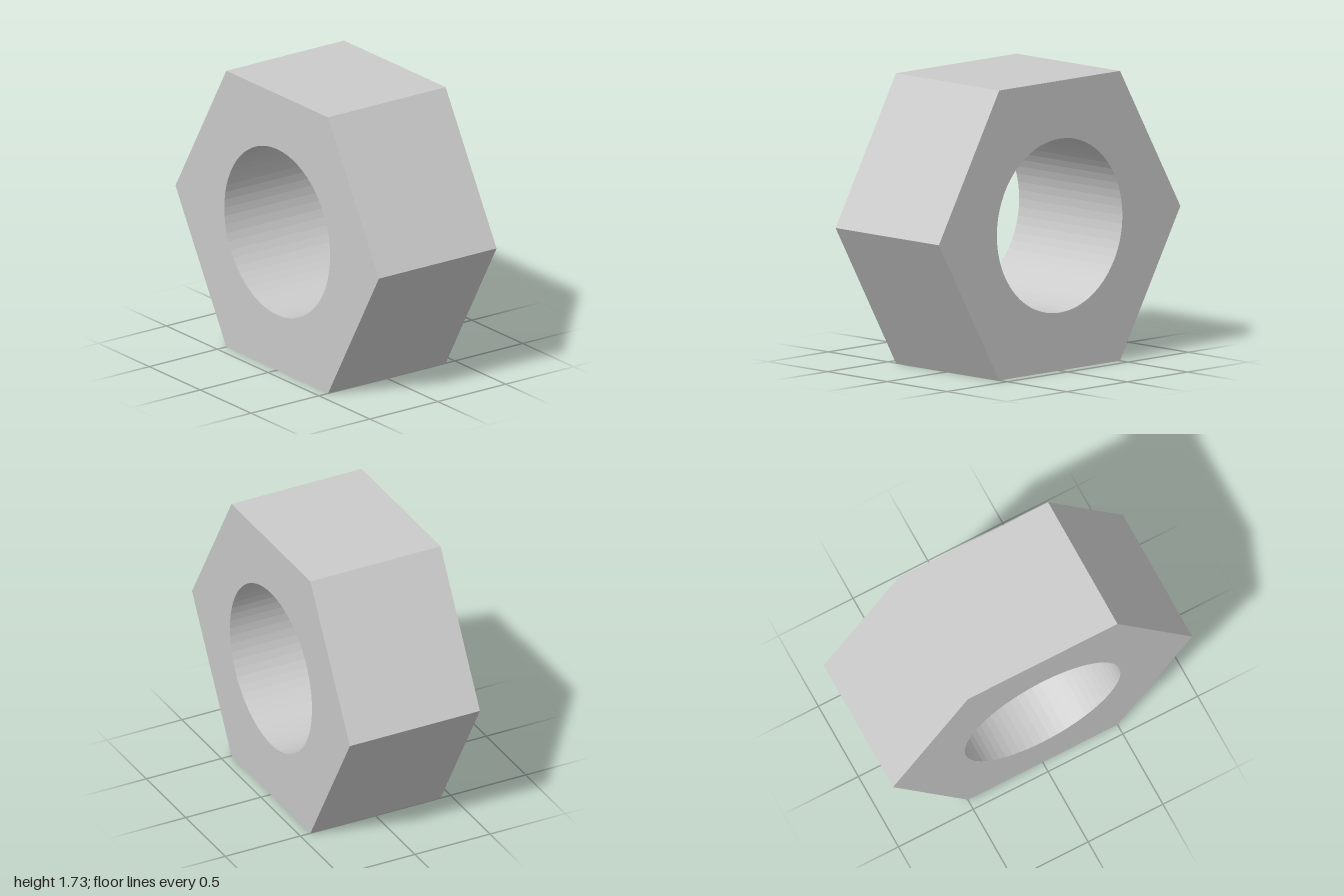
import * as THREE from 'three';

const CIRCUMRADIUS = 1;
const APOTHEM = Math.sqrt(3) / 2;
const BORE_RADIUS = 0.52;
const DEPTH = APOTHEM;

export function createModel() {
  const model = new THREE.Group();
  model.name = 'hexNut';

  // Hexagonal outline with corners on the left and right
  const corners = [];
  for (let i = 0; i < 6; i++) {
    const a = (i * Math.PI) / 3;
    corners.push(new THREE.Vector2(CIRCUMRADIUS * Math.cos(a), CIRCUMRADIUS * Math.sin(a)));
  }
  const outline = new THREE.Shape(corners);

  // Round bore straight through the middle
  outline.holes.push(new THREE.Path().absarc(0, 0, BORE_RADIUS, 0, Math.PI * 2, true));

  // Body, extruded along z and resting on its lower flat
  const geometry = new THREE.ExtrudeGeometry(outline, {
    depth: DEPTH,
    bevelEnabled: false,
    curveSegments: 32, // a full circle gets twice this many sides
  });
  geometry.translate(0, APOTHEM, -DEPTH / 2);

  const body = new THREE.Mesh(
    geometry,
    new THREE.MeshStandardMaterial({ color: 0xcccccc, flatShading: true })
  );
  body.name = 'nutBody';
  model.add(body);

  return model;
}
